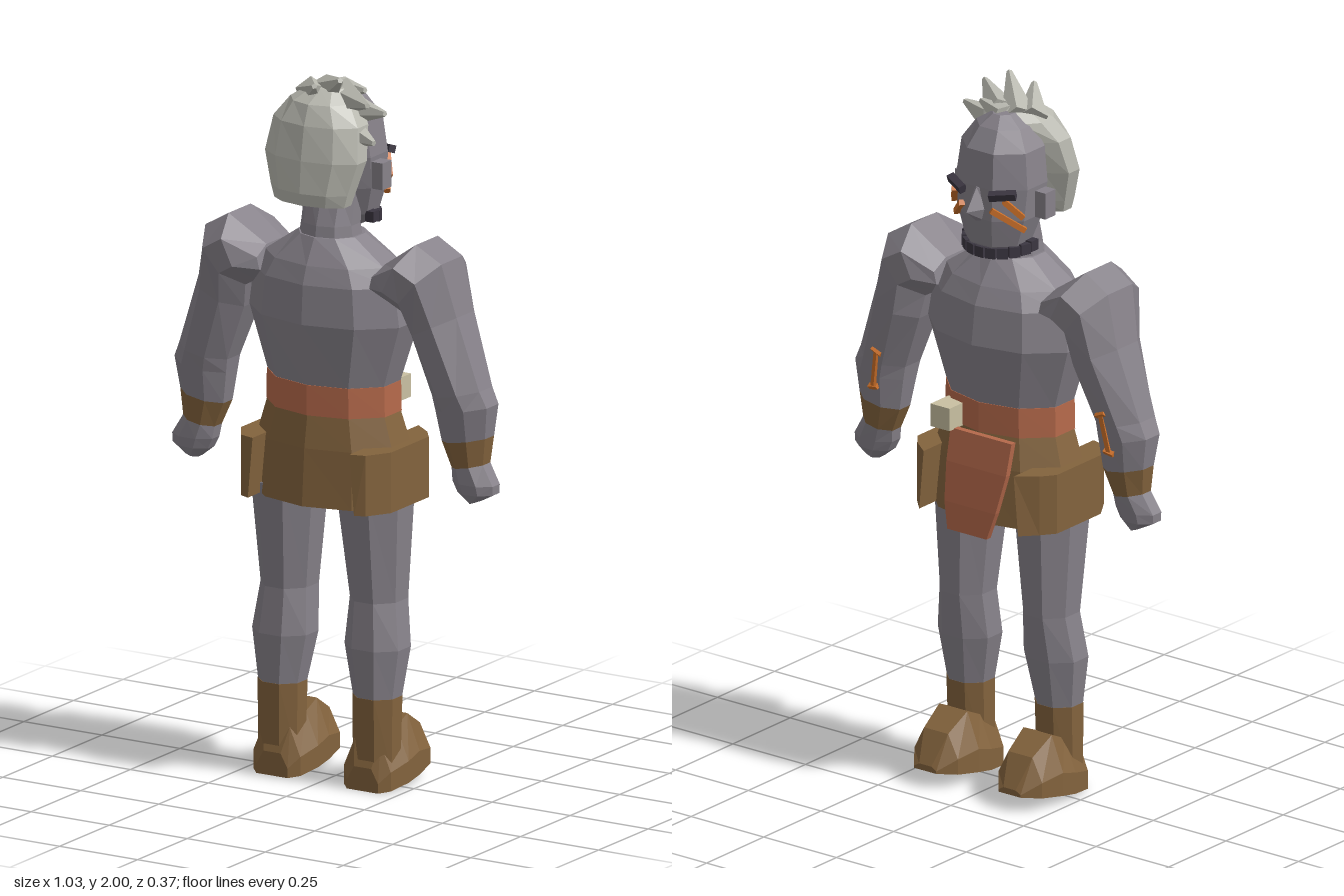
import * as THREE from 'three';

const mat = (name, color) => Object.assign(new THREE.MeshStandardMaterial({ color, flatShading: true }), { name });
const V = (x, y, z) => new THREE.Vector3(x, y, z);

// Closed flat-faced skin over a list of rings (arrays of points), wound outward
function loft(rings) {
  const n = rings[0].length, tris = [];
  const mid = r => r.reduce((a, p) => a.add(p), V(0, 0, 0)).divideScalar(n);
  const first = rings[0], last = rings[rings.length - 1], m0 = mid(first), m1 = mid(last);
  for (let j = 0; j < n; j++) {
    const k = (j + 1) % n;
    for (let i = 0; i + 1 < rings.length; i++) {
      const a = rings[i], b = rings[i + 1];
      tris.push([a[j], b[j], b[k]], [a[j], b[k], a[k]]);
    }
    tris.push([m0, first[j], first[k]], [m1, last[k], last[j]]);
  }
  let volume = 0;
  for (const [a, b, c] of tris) volume += a.clone().sub(m0).dot(b.clone().sub(m0).cross(c.clone().sub(m0)));
  const pts = tris.flatMap(([a, b, c]) => (volume < 0 ? [a, c, b] : [a, b, c]));
  const g = new THREE.BufferGeometry().setFromPoints(pts);
  g.computeVertexNormals();
  return g;
}

// Level ring: height, centre x, half width, back z, front z
function ring(y, cx, rx, zb, zf, n = 10) {
  const turn = n === 8 ? Math.PI / 8 : Math.PI / 2, k = 1 / Math.cos(Math.PI / n);
  const kz = n === 8 ? k : 1;
  return Array.from({ length: n }, (_, i) => {
    const a = turn + i * 2 * Math.PI / n;
    return V(cx + rx * k * Math.cos(a), y, (zb + zf) / 2 + (zb - zf) / 2 * kz * Math.sin(a));
  });
}

// Tilted ring: outer point, inner point, back z, front z
function armRing(s, [ox, oy, ix, iy, zb, zf]) {
  const k = 1 / Math.cos(Math.PI / 8);
  return Array.from({ length: 8 }, (_, i) => {
    const a = (i + 0.5) * Math.PI / 4, c = Math.cos(a) * k / 2, d = Math.sin(a) * k / 2;
    return V(s * ((ox + ix) / 2 + (ox - ix) * c), (oy + iy) / 2 + (oy - iy) * c, (zb + zf) / 2 + (zb - zf) * d);
  });
}

export function createModel() {
  const grey = mat('stone grey', 0x87828a), hairMat = mat('pale hair', 0xb9b9b0);
  const brown = mat('leather brown', 0x83633d), rust = mat('rust cloth', 0xb5694b);
  const cream = mat('cream', 0xc9c0a2), dark = mat('dark iron', 0x3b3641), orange = mat('orange paint', 0xcc7029);
  const root = new THREE.Group();
  const add = (name, geometry, material) => {
    const m = new THREE.Mesh(geometry, material);
    m.name = name;
    root.add(m);
    return m;
  };
  const box = (name, w, h, d, x, y, z, material) => {
    const m = add(name, new THREE.BoxGeometry(w, h, d), material);
    m.position.set(x, y, z);
    return m;
  };
  // Bar or spike between two points
  const rod = (name, a, b, r0, r1, sides, material) => {
    const m = add(name, new THREE.CylinderGeometry(r1, r0, a.distanceTo(b), sides), material);
    m.position.copy(a).add(b).multiplyScalar(0.5);
    m.quaternion.setFromUnitVectors(V(0, 1, 0), b.clone().sub(a).normalize());
    return m;
  };

  // Torso, belt and skirt
  add('torso', loft([
    ring(1.13, 0, 0.185, 0.145, -0.125), ring(1.31, 0, 0.24, 0.175, -0.16), ring(1.42, 0, 0.225, 0.168, -0.145),
    ring(1.47, 0, 0.19, 0.15, -0.12), ring(1.54, 0, 0.09, 0.11, -0.07)]), grey);
  add('neck', loft([ring(1.5, 0, 0.09, 0.11, -0.06), ring(1.57, 0, 0.08, 0.1, -0.05), ring(1.66, 0, 0.08, 0.07, -0.05)]), grey);
  add('belt', loft([ring(1.05, 0, 0.19, 0.148, -0.128), ring(1.135, 0, 0.188, 0.148, -0.128)]), rust);
  add('skirt', loft([ring(0.8, 0, 0.225, 0.172, -0.16), ring(0.96, 0, 0.215, 0.16, -0.145), ring(1.05, 0, 0.188, 0.145, -0.125)]), brown);

  // Apron and belt pouch
  const strip = (y, x0, x1, z) => [V(x0, y, z), V(x1, y, z), V(x1, y, z - 0.018), V(x0, y, z - 0.018)];
  add('apron', loft([strip(1.05, -0.13, 0.08, -0.132), strip(0.96, -0.125, 0.08, -0.15), strip(0.85, -0.1, 0.075, -0.165),
    strip(0.77, -0.07, 0.065, -0.165)]), rust);
  box('beltPouch', 0.065, 0.065, 0.08, 0.1, 1.08, -0.13, cream);

  // Head, drawn as level rings from chin to crown
  add('head', loft([
    ring(1.55, 0, 0.05, -0.02, -0.1, 8), ring(1.59, 0, 0.09, 0.03, -0.118, 8), ring(1.67, 0, 0.115, 0.06, -0.132, 8),
    ring(1.76, 0, 0.122, 0.08, -0.132, 8), ring(1.86, 0, 0.11, 0.08, -0.122, 8), ring(1.915, 0, 0.075, 0.06, -0.085, 8),
    ring(1.945, 0, 0.03, 0.02, -0.05, 8)]), grey);
  add('nose', loft([
    [V(-0.014, 1.76, -0.125), V(0.014, 1.76, -0.125), V(0, 1.76, -0.138)],
    [V(-0.026, 1.7, -0.125), V(0.026, 1.7, -0.125), V(0, 1.7, -0.182)],
    [V(-0.016, 1.665, -0.125), V(0.016, 1.665, -0.125), V(0, 1.665, -0.14)]]), grey);

  // Hair cap and swept tufts
  add('hair', loft([
    ring(1.645, 0, 0.112, 0.175, 0.06), ring(1.68, 0, 0.122, 0.184, 0.045), ring(1.77, 0, 0.148, 0.178, 0.025),
    ring(1.865, 0, 0.135, 0.162, -0.01), ring(1.92, 0, 0.095, 0.14, -0.035), ring(1.955, 0.01, 0.05, 0.095, -0.01)]), hairMat);
  const tufts = [
    [-0.03, 1.92, 0.01, 0.09, 1.997, 0.12, 0.05], [-0.06, 1.92, 0.03, 0.02, 1.975, 0.14, 0.045],
    [0.03, 1.92, 0.01, 0.19, 1.945, 0.14, 0.05], [0.06, 1.89, 0.02, 0.195, 1.905, 0.06, 0.045],
    [0.09, 1.84, 0.06, 0.185, 1.83, 0.1, 0.04], [0.0, 1.93, -0.02, 0.1, 1.945, 0.01, 0.035]];
  for (const [x, y, z, u, v, w, r] of tufts) rod('hairTuft', V(x, y, z), V(u, v, w), r, 0.008, 5, hairMat);

  // Beads along the jaw
  for (let i = 0; i < 11; i++) {
    const a = Math.PI * i / 10;
    const bead = box('jawBead', 0.03, 0.03, 0.026, 0.1 * Math.cos(a), 1.585 - 0.014 * Math.sin(a), -0.025 - 0.09 * Math.sin(a), dark);
    bead.rotation.y = a - Math.PI / 2;
  }

  for (const s of [1, -1]) {
    // Ear, brow and painted cheek slashes
    box('ear', 0.035, 0.075, 0.045, s * 0.138, 1.71, -0.012, grey);
    rod('brow', V(s * 0.045, 1.745, -0.14), V(s * 0.112, 1.755, -0.108), 0.015, 0.015, 4, dark);
    rod('cheekMark', V(s * 0.118, 1.645, -0.075), V(s * 0.05, 1.705, -0.138), 0.011, 0.011, 4, orange);
    rod('cheekMark', V(s * 0.118, 1.685, -0.085), V(s * 0.085, 1.735, -0.125), 0.011, 0.011, 4, orange);

    // Arm, wrist band and hand
    const bandTop = [0.488, 1.025, 0.35, 1.0, 0.05, -0.062], bandEnd = [0.48, 0.95, 0.38, 0.93, 0.042, -0.05];
    const part = list => loft(list.map(r => armRing(s, r)));
    add('arm', part([
      [0.19, 1.48, 0.17, 1.4, 0.11, -0.09], [0.3, 1.555, 0.215, 1.38, 0.148, -0.12], [0.378, 1.51, 0.25, 1.36, 0.14, -0.12],
      [0.413, 1.36, 0.268, 1.29, 0.105, -0.11], [0.48, 1.16, 0.328, 1.13, 0.08, -0.08],
      [0.5, 1.115, 0.335, 1.09, 0.07, -0.075], bandTop]), grey);
    add('wristBand', part([bandTop, bandEnd]), brown);
    add('hand', part([bandEnd, [0.513, 0.895, 0.385, 0.895, 0.045, -0.045], [0.512, 0.87, 0.4, 0.865, 0.042, -0.042],
      [0.475, 0.85, 0.435, 0.836, 0.03, -0.03]]), grey);
    rod('armMark', V(s * 0.385, 1.18, -0.084), V(s * 0.405, 1.07, -0.073), 0.009, 0.009, 4, orange);
    rod('armMarkTip', V(s * 0.37, 1.172, -0.085), V(s * 0.4, 1.185, -0.085), 0.009, 0.009, 4, orange);
    rod('armMarkTip', V(s * 0.39, 1.072, -0.075), V(s * 0.42, 1.066, -0.072), 0.009, 0.009, 4, orange);

    // Skirt side flap wrapped around the hip
    const flap = (y, xi) => [V(xi * s, y, 0.177), V(0.2 * s, y, 0.165), V(0.24 * s, y, 0.1), V(0.24 * s, y, -0.09),
      V(0.21 * s, y, -0.13), V(xi * s, y, -0.172)];
    add('skirtFlap', loft([flap(0.8, 0.17), flap(0.97, 0.155)]), brown);

    // Leg and boot
    add('leg', loft([
      ring(0.26, s * 0.152, 0.063, 0.09, -0.03, 8), ring(0.4, s * 0.148, 0.086, 0.1, -0.055, 8),
      ring(0.53, s * 0.143, 0.073, 0.086, -0.07, 8), ring(0.83, s * 0.137, 0.099, 0.12, -0.085, 8)]), grey);
    add('bootShaft', loft([ring(0.06, s * 0.152, 0.062, 0.088, -0.02, 8), ring(0.262, s * 0.152, 0.064, 0.091, -0.031, 8)]), brown);
    // Foot sections from heel to toe: z, half width, sole height, top height
    const foot = [[0.095, 0.05, 0.004, 0.07], [0.07, 0.075, 0.008, 0.14], [0, 0.088, 0.018, 0.17], [-0.055, 0.088, 0.028, 0.195],
      [-0.13, 0.075, 0.04, 0.15], [-0.178, 0.038, 0.048, 0.065]];
    add('foot', loft(foot.map(([z, h, b, t]) => [[-1, 0], [1, 0], [1, 0.4], [0.55, 1], [-0.55, 1], [-1, 0.4]]
      .map(([u, v]) => V(s * 0.145 + u * h, b + v * (t - b), z)))), brown);
  }
  return root;
}
